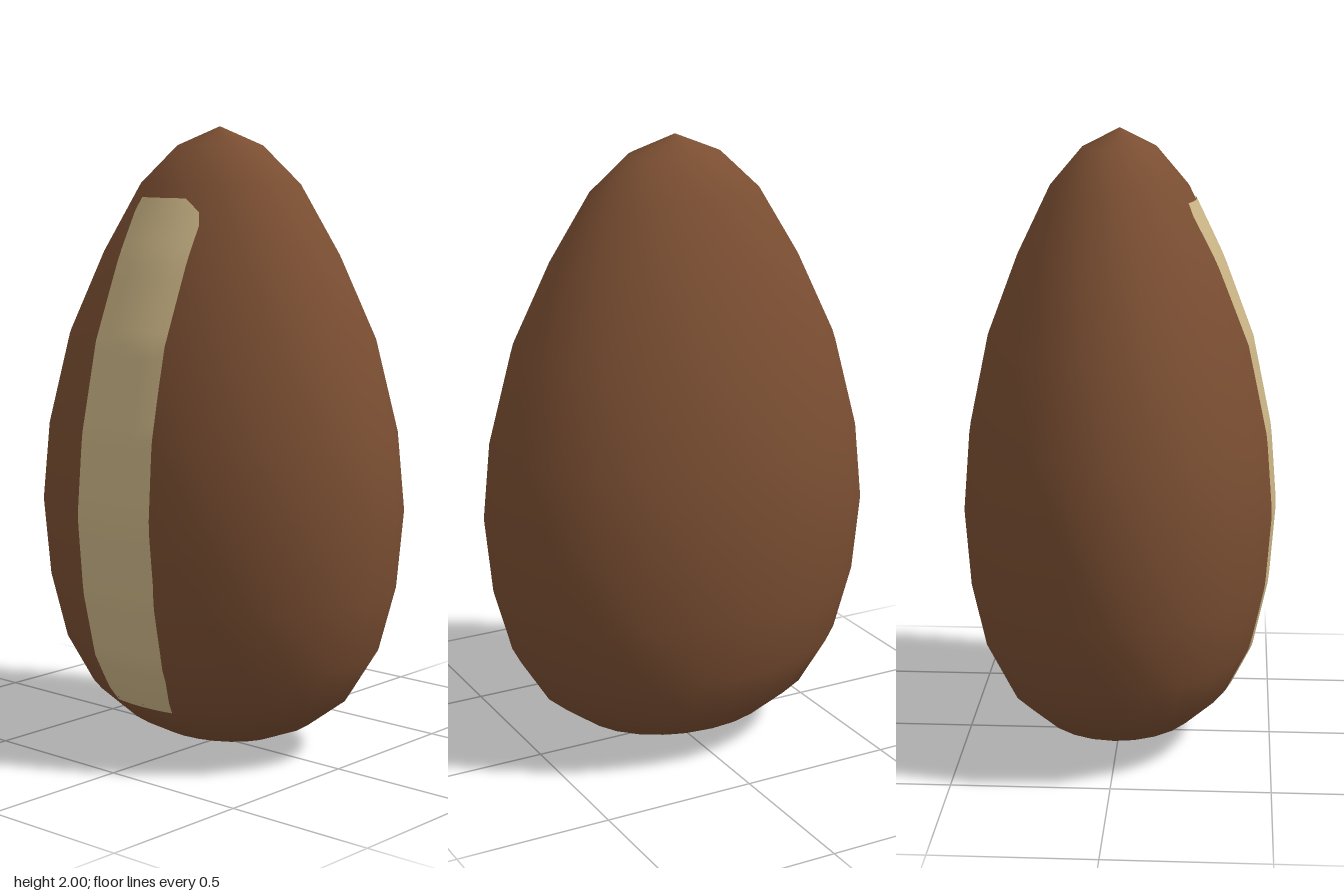
import * as THREE from 'three';

// half-width and height pairs, from base to tip
const PROFILE = [
  [0, 0], [0.22, 0.045], [0.33, 0.09], [0.465, 0.19], [0.56, 0.34], [0.618, 0.55], [0.642, 0.8],
  [0.617, 1.05], [0.54, 1.34], [0.415, 1.6], [0.28, 1.82], [0.15, 1.94], [0, 2],
];
const DEPTH = 0.785; // depth relative to width

// Linear lookup in a table of [value, position] pairs
function lookup(table, p) {
  let i = 1;
  while (i < table.length - 1 && table[i][1] < p) i++;
  const [a, pa] = table[i - 1], [b, pb] = table[i];
  return THREE.MathUtils.mapLinear(THREE.MathUtils.clamp(p, pa, pb), pa, pb, a, b);
}

// Thin patch wrapped on the front of the shell, with worn corners
function makeStripe() {
  const left = [[-0.13, 0.18], [-0.148, 0.23], [-0.155, 0.75], [-0.145, 1.74], [-0.13, 1.78]];
  const right = [[0.11, 0.18], [0.145, 0.32], [0.155, 0.62], [0.145, 1.2], [0.145, 1.73], [0.07, 1.78]];
  const geo = new THREE.PlaneGeometry(1, 1, 8, 40);
  const pos = geo.attributes.position;
  for (let i = 0; i < pos.count; i++) {
    const y = 0.98 + pos.getY(i) * 1.6;
    const x = THREE.MathUtils.lerp(lookup(left, y), lookup(right, y), pos.getX(i) + 0.5);
    const r = lookup(PROFILE, y);
    pos.setXYZ(i, x, y, DEPTH * Math.sqrt(r * r - x * x) + 0.004);
  }
  geo.computeVertexNormals();
  return geo;
}

export function createModel() {
  const brown = new THREE.MeshStandardMaterial({ name: 'brown shell', color: 0x7a4e32 });
  const cream = new THREE.MeshStandardMaterial({ name: 'pale stripe', color: 0xcbb586, side: THREE.DoubleSide });
  const group = new THREE.Group();
  group.name = 'seed';

  // Flattened egg-shaped shell
  const shellGeo = new THREE.LatheGeometry(PROFILE.map(([x, y]) => new THREE.Vector2(x, y)), 24);
  shellGeo.scale(1, 1, DEPTH);
  const shell = new THREE.Mesh(shellGeo, brown);
  shell.name = 'shell';

  const stripe = new THREE.Mesh(makeStripe(), cream);
  stripe.name = 'frontStripe';

  group.add(shell, stripe);
  return group;
}
